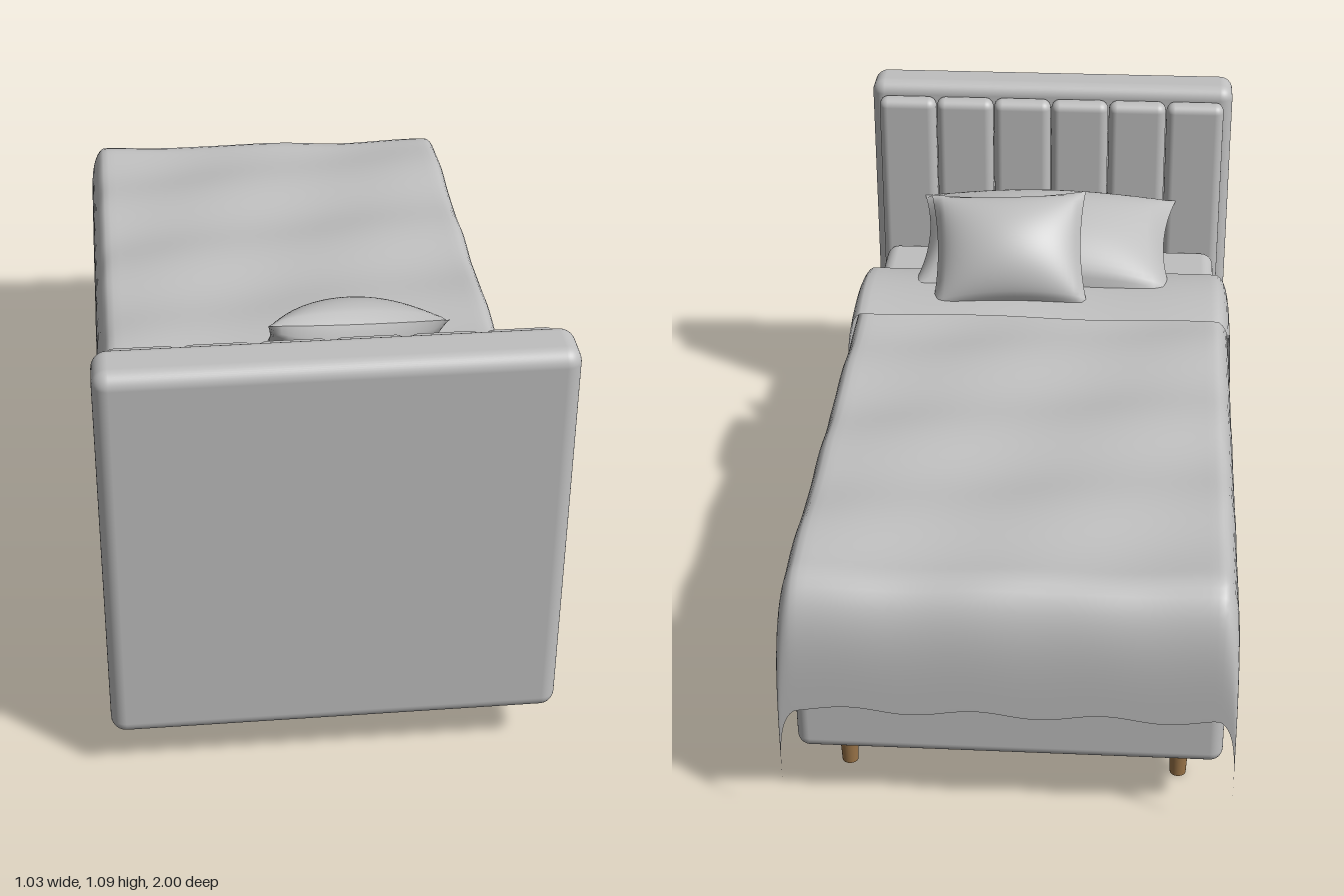
import * as THREE from 'three';
import { RoundedBoxGeometry } from 'three/addons/geometries/RoundedBoxGeometry.js';
import { mergeGeometries } from 'three/addons/utils/BufferGeometryUtils.js';

const fabric = new THREE.MeshStandardMaterial({ color: 0xbfbfbf });
fabric.name = 'grey fabric';
const cloth = new THREE.MeshStandardMaterial({ color: 0xbfbfbf, side: THREE.DoubleSide });
cloth.name = 'grey cloth';
const wood = new THREE.MeshStandardMaterial({ color: 0x9a7448 });
wood.name = 'oak wood';

function add(parent, name, geometry, material, x = 0, y = 0, z = 0) {
  const mesh = new THREE.Mesh(geometry, material);
  mesh.name = name;
  mesh.position.set(x, y, z);
  parent.add(mesh);
  return mesh;
}

// Rounded block given by its min and max corners
function block(parent, name, min, max, radius) {
  const s = max.map((m, i) => m - min[i]);
  const c = max.map((m, i) => (m + min[i]) / 2);
  return add(parent, name, new RoundedBoxGeometry(...s, 5, radius), fabric, ...c);
}

// Grid surface: rule(u, v) with u, v in -1..1 returns a point
function sheet(nu, nv, rule) {
  const g = new THREE.PlaneGeometry(2, 2, nu, nv);
  const p = g.attributes.position;
  for (let i = 0; i < p.count; i++) p.setXYZ(i, ...rule(p.getX(i), p.getY(i)));
  g.computeVertexNormals();
  return g;
}

// Cloth hanging over an edge: t in 0..1 runs from the edge to the hem
const outward = (t) => 1 - (1 - t) ** 3;
const downward = (t) => t ** 1.5;
const past = (a, start) => Math.max(0, (a - start) / (1 - start));

// Pillow with pinched corners, flat in its own xy plane
function pillow(w, h, depth, pinch) {
  const half = sheet(28, 28, (u, v) => [
    w * u * (1 - pinch * (1 - v * v)),
    h * v * (1 - pinch * (1 - u * u)),
    depth * ((1 - u * u) * (1 - v * v)) ** 0.55,
  ]);
  return mergeGeometries([half, half.clone().rotateY(Math.PI)]);
}

export function createModel() {
  const bed = new THREE.Group();
  bed.name = 'bed';

  // Frame and mattress
  block(bed, 'headboard', [-0.51, 0.117, 0.87], [0.51, 1.085, 1], 0.035);
  block(bed, 'base', [-0.49, 0.15, -0.922], [0.49, 0.41, 0.88], 0.03);
  block(bed, 'mattress', [-0.472, 0.4, -0.9], [0.472, 0.61, 0.825], 0.035);

  // Upholstered channels on the headboard
  const channels = new THREE.Group();
  channels.name = 'headboardChannels';
  bed.add(channels);
  for (let i = 0; i < 6; i++) {
    const x = (i - 2.5) * 0.162;
    block(channels, 'channel', [x - 0.08, 0.39, 0.818], [x + 0.08, 1.052, 0.875], 0.024);
  }

  // Tapered legs
  for (const x of [-0.393, 0.393])
    for (const z of [0.78, -0.768])
      add(bed, 'leg', new THREE.CylinderGeometry(0.027, 0.019, 0.16, 24), wood, x, 0.08, z);

  // Duvet draped over both sides and the foot
  const duvet = sheet(72, 96, (u, v) => {
    const a = Math.abs(u), side = past(a, 0.68), foot = past(v, 0.72);
    const x = Math.sign(u) * (0.47 * Math.min(1, a / 0.68) + 0.043 * outward(side));
    const z = 0.46 - 1.35 * Math.min(1, (v + 1) / 1.72) - 0.108 * outward(foot);
    const ripple = 0.006 * Math.sin(z * 17 + u * 2) + 0.004 * Math.sin(u * 9 + z * 5);
    const hem = 0.006 * side * Math.sin(z * 31) + 0.008 * foot * Math.sin(x * 22);
    const y = 0.645 + ripple * (1 - foot) * (1 - 0.5 * side) + hem
      - 0.222 * downward(side) - 0.315 * downward(foot);
    return [x, y, z];
  });
  add(bed, 'duvet', duvet, cloth);

  // Turned-back top of the duvet
  const turnback = sheet(64, 16, (u, v) => {
    const a = Math.abs(u), side = past(a, 0.68);
    const x = Math.sign(u) * (0.474 * Math.min(1, a / 0.68) + 0.041 * outward(side));
    const bow = 0.022 * (1 - v * v) + 0.003 * Math.sin(u * 8);
    return [x, 0.675 + bow - 0.222 * downward(side), 0.388 - 0.14 * v];
  });
  add(bed, 'duvetTurnback', turnback, cloth);

  // Pillows
  const large = add(bed, 'largePillow', pillow(0.36, 0.225, 0.125, 0.09), fabric, 0, 0.72, 0.6);
  large.rotation.x = -Math.PI / 2 - 0.2;
  const small = add(bed, 'smallPillow', pillow(0.21, 0.165, 0.1, 0.08), fabric, 0.09, 0.785, 0.425);
  small.rotation.set(-Math.PI / 2 - 0.8, 0, 0.05);

  return bed;
}
